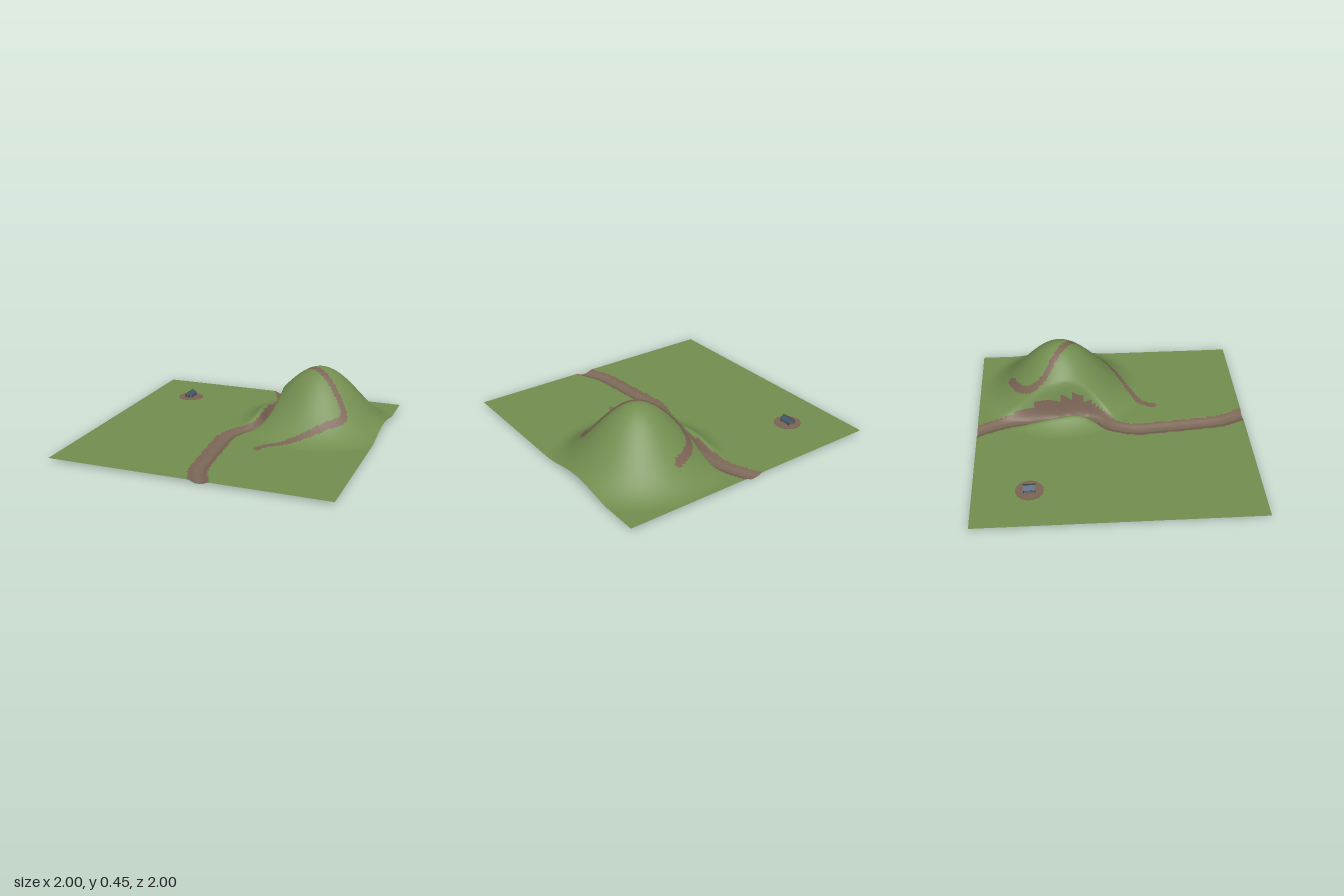
import * as THREE from 'three';

const mat = (name, color, side = THREE.FrontSide) => {
  const m = new THREE.MeshStandardMaterial({ color, side });
  m.name = name;
  return m;
};

const GROUND = 0.02, N = 160;
const HILL = { x: 0.51, z: -0.37, radius: 0.625, height: 0.435 };

// Smooth paths seen from above, as [x, z]
const path = (pts, samples) =>
  new THREE.SplineCurve(pts.map(p => new THREE.Vector2(...p))).getPoints(samples);

const riverPath = path([
  [-0.08, -1.15], [0.015, -1], [0.1, -0.8], [0.125, -0.6], [0.138, -0.4], [0.155, -0.22],
  [0.115, -0.1], [0.03, 0], [-0.012, 0.1], [-0.03, 0.2], [-0.015, 0.4], [0.003, 0.6],
  [0.025, 0.8], [0.06, 0.9], [0.105, 1], [0.19, 1.15]], 140);

const trailPath = path([
  [0.46, -0.755], [0.35, -0.705], [0.28, -0.635], [0.26, -0.57], [0.295, -0.48],
  [0.405, -0.39], [0.54, -0.295], [0.68, -0.2], [0.755, -0.13], [0.755, -0.07],
  [0.68, 0], [0.565, 0.09], [0.43, 0.17], [0.325, 0.23], [0.275, 0.29], [0.26, 0.335]], 120);

// Distance from a point to a sampled path
function distance(pts, x, z) {
  let best = Infinity;
  for (let i = 1; i < pts.length; i++) {
    const a = pts[i - 1], b = pts[i];
    const dx = b.x - a.x, dz = b.y - a.y;
    const t = Math.min(1, Math.max(0, ((x - a.x) * dx + (z - a.y) * dz) / (dx * dx + dz * dz)));
    best = Math.min(best, (x - a.x - t * dx) ** 2 + (z - a.y - t * dz) ** 2);
  }
  return Math.sqrt(best);
}

// Cosine hill, cut by the river valley, with a shallow channel
function height(x, z) {
  const r = Math.hypot(x - HILL.x, z - HILL.z) / HILL.radius;
  const hill = r < 1 ? HILL.height * (0.5 + 0.5 * Math.cos(Math.PI * r)) : 0;
  const d = distance(riverPath, x, z);
  const channel = 0.019 * (1 - THREE.MathUtils.smoothstep(d, 0.015, 0.065));
  return GROUND + hill * THREE.MathUtils.smoothstep(d, 0.025, 0.095) - channel;
}

// Height-field grid; pick(x, z) gives the material slot of each cell
function terrain(heights, drop, slots, pick, flip) {
  const pos = [], lists = Array.from({ length: slots }, () => []);
  const at = i => -1 + 2 * i / N;
  for (let j = 0; j <= N; j++)
    for (let i = 0; i <= N; i++) pos.push(at(i), heights[j * (N + 1) + i] - drop, at(j));
  for (let j = 0; j < N; j++)
    for (let i = 0; i < N; i++) {
      const a = j * (N + 1) + i, b = a + 1, c = a + N + 1, d = c + 1;
      const list = lists[pick(at(i + 0.5), at(j + 0.5))];
      if (flip) list.push(a, b, c, b, d, c);
      else list.push(a, c, b, b, c, d);
    }
  const geo = new THREE.BufferGeometry();
  geo.setAttribute('position', new THREE.Float32BufferAttribute(pos, 3));
  geo.setIndex(lists.flat());
  let start = 0;
  lists.forEach((l, k) => { geo.addGroup(start, l.length, k); start += l.length; });
  geo.computeVertexNormals();
  return geo;
}

export function createModel() {
  const model = new THREE.Group();
  model.name = 'landscape';
  const grass = mat('grass', 0x738e50);
  const dirt = mat('dirt', 0x7b6455);
  const bed = mat('river bed', 0x7c6a58);
  const soil = mat('soil', 0x786654);
  const roofBlue = mat('roof slate', 0x40566a, THREE.DoubleSide);
  const wallGrey = mat('wall', 0x5a666c);
  const wood = mat('dark wood', 0x4a4038);

  const add = (parent, name, geo, material, x = 0, y = 0, z = 0) => {
    const m = new THREE.Mesh(geo, material);
    m.name = name;
    m.position.set(x, y, z);
    parent.add(m);
    return m;
  };

  // Land sheet: grass, trail and banks, river bed; soil beneath
  const heights = [];
  for (let j = 0; j <= N; j++)
    for (let i = 0; i <= N; i++) heights.push(height(-1 + 2 * i / N, -1 + 2 * j / N));
  const pick = (x, z) => {
    const d = distance(riverPath, x, z);
    if (d < 0.035) return 2;
    return d < 0.066 || distance(trailPath, x, z) < 0.023 ? 1 : 0;
  };
  add(model, 'land', terrain(heights, 0, 3, pick, false), [grass, dirt, bed]);
  add(model, 'underside', terrain(heights, 0.001, 1, () => 0, true), [soil]);

  // Hut on a round dirt clearing
  const hut = new THREE.Group();
  hut.name = 'hut';
  hut.position.set(-0.655, GROUND, -0.605);
  model.add(hut);
  add(hut, 'clearing', new THREE.CylinderGeometry(0.098, 0.098, 0.002, 40), dirt, 0, 0.001, 0);
  add(hut, 'walls', new THREE.BoxGeometry(0.048, 0.03, 0.07), wallGrey, 0, 0.016, 0);
  const gable = new THREE.Shape([[-0.024, 0], [0.024, 0], [0, 0.016]].map(p => new THREE.Vector2(...p)));
  add(hut, 'gables', new THREE.ExtrudeGeometry(gable, { depth: 0.07, bevelEnabled: false }),
    wallGrey, 0, 0.031, -0.035);
  add(hut, 'door', new THREE.BoxGeometry(0.014, 0.022, 0.002), wood, 0, 0.013, 0.0355);
  add(hut, 'ridge', new THREE.BoxGeometry(0.005, 0.004, 0.092), wood, 0, 0.05, 0);
  for (const s of [-1, 1]) {
    const slope = add(hut, 'roofSlope', new THREE.BoxGeometry(0.041, 0.003, 0.088), roofBlue,
      s * 0.017, 0.039, 0);
    slope.rotation.z = -s * 0.58;
    for (const e of [-1, 1])
      add(hut, 'post', new THREE.BoxGeometry(0.005, 0.032, 0.005), wood, s * 0.028, 0.016, e * 0.039);
  }
  return model;
}
